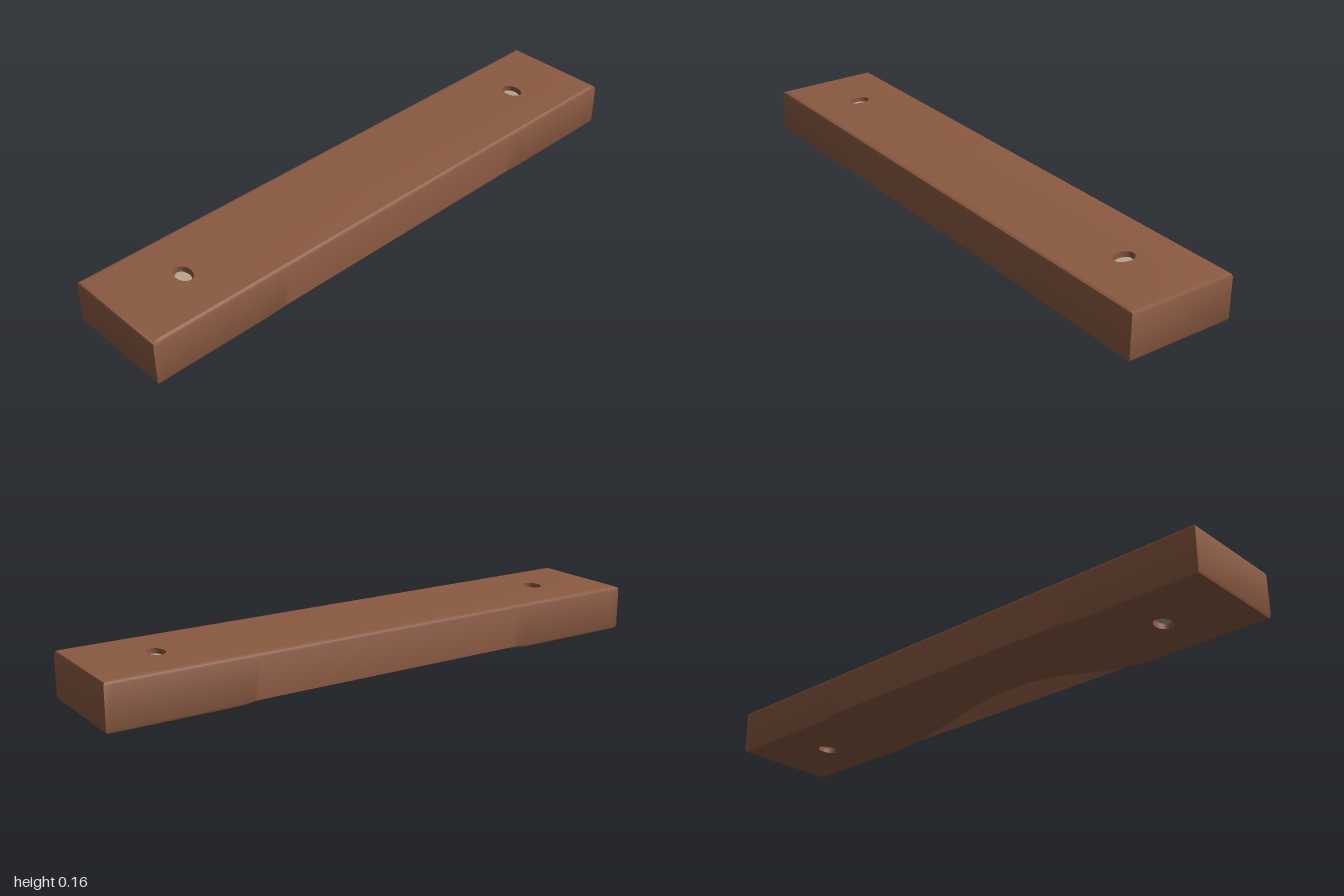
import * as THREE from 'three';
import { mergeGeometries, toCreasedNormals } from 'three/addons/utils/BufferGeometryUtils.js';

const L = 1, W = 0.19, H = 0.16, B = 0.012;   // half length, half width, height, edge rounding
const HOLE_X = 0.75, HOLE_RX = 0.028, HOLE_RZ = 0.039;
const GRIP = 0.6, GRIP_H = 0.08;              // hollow under the bar

// Smooth rise of the underside along the length
const lift = x => Math.abs(x) < GRIP ? GRIP_H * 0.5 * (1 + Math.cos(Math.PI * x / GRIP)) : 0;

// Inset and height of a wall section, from top to bottom
const section = [[B, H], [B * 0.3, H - B * 0.3], [0, H - B], [0, B], [B * 0.3, B * 0.3], [B, 0]];

// Wall facing +z with mitred ends; its lower edge follows the hollow
function wall(halfLength, distance, segments, rise) {
  const geo = new THREE.PlaneGeometry(2, 1, segments, section.length - 1);
  const p = geo.attributes.position;
  for (let i = 0; i < p.count; i++) {
    const row = Math.floor(i / (segments + 1));
    const [inset, y] = section[row];
    const x = p.getX(i) * (halfLength - inset);
    p.setXYZ(i, x, y + (row > 3 ? rise(x) : 0), distance - inset);
  }
  return geo;
}

// Flat panel between two x positions, pierced by oval holes
function panel(x0, x1, holes) {
  const w = W - B;
  const shape = new THREE.Shape([[x0, -w], [x1, -w], [x1, w], [x0, w]].map(a => new THREE.Vector2(...a)));
  for (const x of holes) {
    shape.holes.push(new THREE.Path().absellipse(x, 0, HOLE_RX, HOLE_RZ, 0, Math.PI * 2, true));
  }
  return new THREE.ShapeGeometry(shape, 16);
}

function createBar() {
  const parts = [];
  for (const turn of [0, Math.PI]) {
    parts.push(wall(L, W, 80, lift).rotateY(turn));
    parts.push(wall(W, L, 1, () => 0).rotateY(turn + Math.PI / 2));
  }
  // Top, and the flat underside at both ends
  parts.push(panel(-L + B, L - B, [-HOLE_X, HOLE_X]).rotateX(-Math.PI / 2).translate(0, H, 0));
  parts.push(panel(-L + B, -GRIP, [-HOLE_X]).rotateX(Math.PI / 2));
  parts.push(panel(GRIP, L - B, [HOLE_X]).rotateX(Math.PI / 2));
  // Hollowed underside
  const hollow = new THREE.PlaneGeometry(GRIP * 2, (W - B) * 2, 60, 1).rotateX(Math.PI / 2);
  const p = hollow.attributes.position;
  for (let i = 0; i < p.count; i++) p.setY(i, lift(p.getX(i)));
  parts.push(hollow);
  return toCreasedNormals(mergeGeometries(parts.map(g => g.toNonIndexed())), 0.6);
}

export function createModel() {
  const group = new THREE.Group();
  const wood = new THREE.MeshStandardMaterial({ color: 0x8b5a42, side: THREE.DoubleSide });
  const pinColor = new THREE.MeshStandardMaterial({ color: 0xb8a48c });
  const add = (name, geo, mat) => {
    const mesh = new THREE.Mesh(geo, mat);
    mesh.name = name;
    group.add(mesh);
  };

  add('bar', createBar(), wood);

  // Bored holes, each with a recessed pin
  for (const side of [-1, 1]) {
    const label = side > 0 ? 'left' : 'right';
    const bore = new THREE.CylinderGeometry(1, 1, H, 32, 1, true);
    add(label + 'HoleWall', bore.scale(HOLE_RX, 1, HOLE_RZ).translate(side * HOLE_X, H / 2, 0), wood);
    const pin = new THREE.CylinderGeometry(1, 1, H - 0.03, 32);
    add(label + 'Pin', pin.scale(0.022, 1, 0.032).translate(side * HOLE_X, H / 2, 0), pinColor);
  }
  return group;
}
